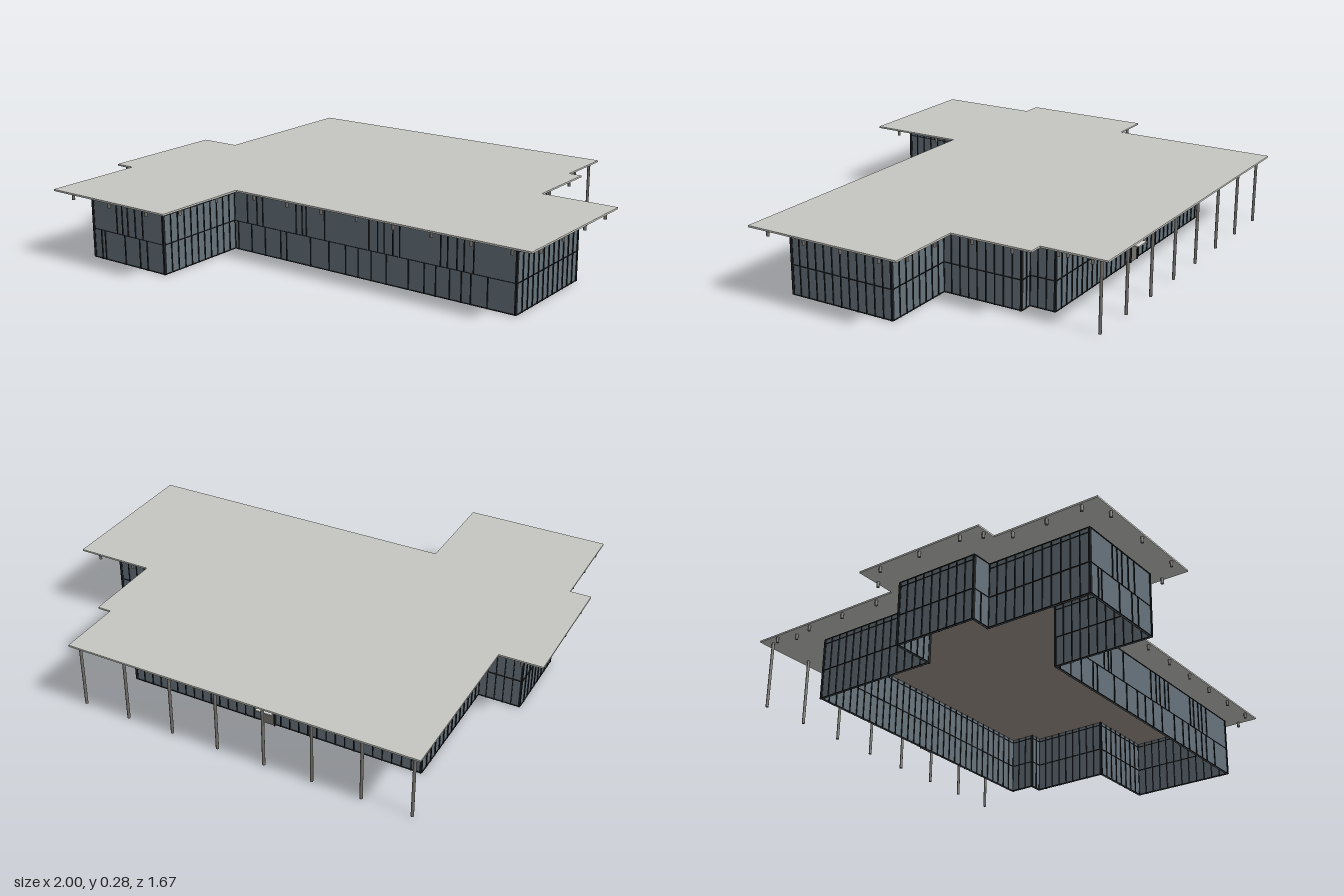
import * as THREE from 'three';
import { mergeGeometries } from 'three/addons/utils/BufferGeometryUtils.js';

const mat = (name, color) => {
  const m = new THREE.MeshStandardMaterial({ color });
  m.name = name;
  return m;
};

const WALL_H = 0.255, ROOF_Y = 0.278, ROOF_TOP = 0.285, MID = 0.12;

// Outlines as [x, z], starting at the back right-hand corner seen from behind
const ROOF = [[-0.821, -0.829], [0.618, -0.829], [0.618, -0.563], [0.675, -0.563], [0.675, -0.229],
  [0.997, -0.229], [0.997, 0.431], [-0.319, 0.431], [-0.319, 0.838], [-0.91, 0.838],
  [-0.91, 0.412], [-0.996, 0.412], [-0.996, -0.133], [-0.821, -0.133]];
const WALLS = [[-0.716, -0.567], [0.512, -0.567], [0.512, -0.46], [0.568, -0.46], [0.568, -0.124],
  [0.885, -0.124], [0.885, 0.328], [-0.422, 0.328], [-0.422, 0.735], [-0.803, 0.735],
  [-0.803, 0.31], [-0.887, 0.31], [-0.887, -0.03], [-0.716, -0.03]];

// Front mullions: the upper and lower rows are staggered
const UPPER = [-0.67, -0.64, -0.61, -0.57, -0.53, -0.35, -0.3, -0.27, -0.1, -0.07, -0.05, 0.04,
  0.25, 0.29, 0.32, 0.36, 0.39, 0.57, 0.6, 0.64, 0.67, 0.71];
const LOWER = [-0.85, -0.76, -0.74, -0.63, -0.55, -0.51, -0.4, -0.33, -0.26, -0.18, -0.15, -0.03, 0.06,
  0.14, 0.2, 0.26, 0.33, 0.43, 0.5, 0.55, 0.61, 0.66, 0.7, 0.77];

export function createModel() {
  const roofMat = mat('pale roof', 0xc6c6c1);
  const ceilingMat = mat('brown ceiling', 0xa0958f);
  const glassMat = mat('blue grey glass', 0x66727b);
  const frameMat = mat('black frame', 0x1b1e20);
  const steelMat = mat('grey steel', 0x74716c);
  const canopyMat = mat('light canopy', 0xd4d4d0);

  const model = new THREE.Group();
  model.name = 'pavilion';
  const add = (name, geometry, material, parent = model) => {
    const mesh = new THREE.Mesh(geometry, material);
    mesh.name = name;
    parent.add(mesh);
    return mesh;
  };
  const box = (w, h, d, x, y, z) => new THREE.BoxGeometry(w, h, d).translate(x, y, z);

  // Flat plate with a given outline
  const plate = (outline, top, depth) => {
    const shape = new THREE.Shape(outline.map(([x, z]) => new THREE.Vector2(x, z)));
    return new THREE.ExtrudeGeometry(shape, { depth, bevelEnabled: false })
      .rotateX(Math.PI / 2).translate(0, top, 0);
  };
  add('roof', plate(ROOF, ROOF_TOP, ROOF_TOP - ROOF_Y), roofMat);
  add('ceiling', plate(WALLS, 0.253, 0.004), ceilingMat);

  // Glazed walls, one per edge of the plan
  WALLS.forEach((a, i) => {
    const b = WALLS[(i + 1) % WALLS.length];
    const dx = b[0] - a[0], dz = b[1] - a[1], length = Math.hypot(dx, dz);
    const wall = new THREE.Group();
    wall.name = 'wall' + (i + 1);
    wall.position.set(a[0], 0, a[1]);
    wall.rotation.y = Math.atan2(-dz, dx);
    model.add(wall);
    add('glass', box(length, WALL_H, 0.004, length / 2, WALL_H / 2, 0), glassMat, wall);

    const bars = [];
    const upright = (x, y0, y1, w = 0.003) =>
      bars.push(box(w, y1 - y0, 0.012, x, (y0 + y1) / 2, 0));
    const rail = (y, h) => bars.push(box(length, h, 0.01, length / 2, y, 0));
    upright(0, 0, WALL_H, 0.007);
    const facesFront = dx < -0.01;
    if (facesFront) {
      const row = (list, y0, y1) => list.forEach((x) => {
        if (x > b[0] + 0.01 && x < a[0] - 0.01) upright(a[0] - x, y0, y1);
      });
      row(UPPER, MID, WALL_H);
      row(LOWER, 0, MID);
      rail(MID, 0.0015);
    } else {
      const n = Math.max(2, Math.round(length / 0.038));
      for (let k = 1; k < n; k++) upright((k * length) / n, 0, WALL_H);
      rail(MID, 0.003);
      rail(0.235, 0.002);
    }
    rail(0.002, 0.003);
    rail(WALL_H - 0.001, 0.003);
    add('mullions', mergeGeometries(bars), frameMat, wall);
  });

  // Row of tall columns under the deep back overhang, with lamps behind them
  const lamp = (x, z) => add('soffitLamp',
    new THREE.CylinderGeometry(0.006, 0.006, 0.022, 10).translate(x, ROOF_Y - 0.011, z), steelMat);
  for (let k = 0; k < 8; k++) {
    const x = -0.785 + k * 0.197;
    add('column', new THREE.CylinderGeometry(0.006, 0.006, ROOF_Y, 12)
      .translate(x, ROOF_Y / 2, -0.792), steelMat);
    lamp(x, -0.66);
  }

  // Small lamps along the other roof edges
  ROOF.forEach((a, i) => {
    if (i === 0) return;
    const b = ROOF[(i + 1) % ROOF.length];
    const dx = b[0] - a[0], dz = b[1] - a[1], length = Math.hypot(dx, dz);
    const n = Math.round(length / 0.17);
    for (let k = 0; k < n; k++) {
      const t = (k + 0.5) / n;
      lamp(a[0] + dx * t - (dz / length) * 0.012, a[1] + dz * t + (dx / length) * 0.012);
    }
  });

  // Back entrance: door leaf, frame and canopy
  const doorX = -0.09;
  add('door', box(0.05, 0.07, 0.004, doorX, 0.035, -0.574), steelMat);
  for (const s of [-1, 1])
    add('doorJamb', box(0.004, 0.075, 0.012, doorX + s * 0.027, 0.0375, -0.574), frameMat);
  add('doorCanopy', box(0.07, 0.005, 0.046, doorX, 0.076, -0.591), canopyMat);

  // The plan is turned very slightly on its site
  model.rotation.y = -0.0135;
  const root = new THREE.Group();
  root.name = 'building';
  root.add(model);
  return root;
}
